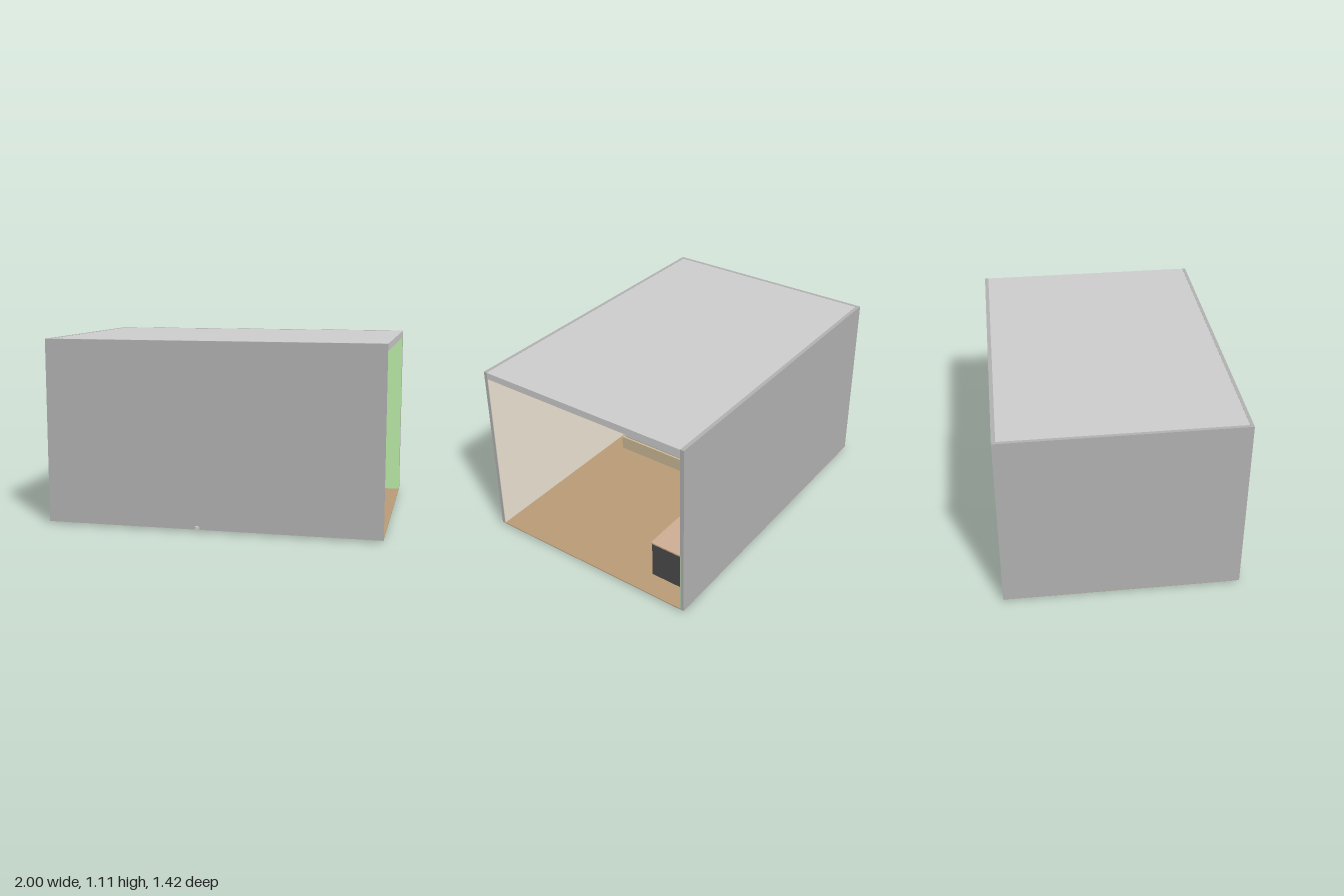
import * as THREE from 'three';
import { RoundedBoxGeometry } from 'three/addons/geometries/RoundedBoxGeometry.js';

const mat = (color) => new THREE.MeshStandardMaterial({ color });
const M = {
  grey: mat(0xcccccc), wall: mat(0xb0b0b0), beige: mat(0xe9e0d1), green: mat(0xbdeda9),
  floor: mat(0xb89b77), wood: mat(0xcab794), yellow: mat(0xdcd200), dark: mat(0x4a4a4a),
  deskTop: mat(0xcdac92), red: mat(0xd00000), black: mat(0x222222),
};

function add(parent, name, geometry, material, x = 0, y = 0, z = 0) {
  const mesh = new THREE.Mesh(geometry, material);
  mesh.name = name;
  mesh.position.set(x, y, z);
  parent.add(mesh);
  return mesh;
}

// Box given by its limits on each axis; a radius rounds the edges
function box(parent, name, material, [x0, x1], [y0, y1], [z0, z1], radius = 0) {
  const size = [x1 - x0, y1 - y0, z1 - z0];
  const geometry = radius ? new RoundedBoxGeometry(...size, 5, radius) : new THREE.BoxGeometry(...size);
  return add(parent, name, geometry, material, (x0 + x1) / 2, (y0 + y1) / 2, (z0 + z1) / 2);
}

function group(parent, name) {
  const g = new THREE.Group();
  g.name = name;
  parent.add(g);
  return g;
}

function createRoom(parent) {
  const room = group(parent, 'room');
  box(room, 'floor', M.floor, [-0.998, 0.998], [0.007, 0.013], [-0.69, 0.67]);
  box(room, 'frontWall', M.wall, [-1, 1], [0.01, 1.11], [0.668, 0.688]);
  box(room, 'backWall', M.wall, [-1, 1], [0.01, 1.11], [-0.71, -0.687]);
  box(room, 'sideWall', M.wall, [-1, -0.98], [0.01, 1.11], [-0.687, 0.668]);
  box(room, 'ceiling', M.grey, [-0.98, 1], [1.067, 1.109], [-0.687, 0.668]);
  // Painted inner faces
  box(room, 'frontWallPaint', M.beige, [-0.98, 0.998], [0.013, 1.067], [0.665, 0.668]);
  box(room, 'backWallPaint', M.green, [-0.98, 0.998], [0.013, 1.067], [-0.687, -0.684]);
  box(room, 'sideWallPaint', M.beige, [-0.98, -0.977], [0.013, 1.067], [-0.684, 0.665]);
  // Small block at the foot of the front wall
  box(room, 'outsideBlock', M.grey, [-0.087, -0.064], [0.01, 0.031], [0.688, 0.71]);
}

function createBed(parent) {
  const bed = group(parent, 'bed');
  box(bed, 'headboard', M.wood, [-0.977, -0.945], [0.065, 0.38], [-0.203, 0.522]);
  box(bed, 'bedBase', M.wood, [-0.945, -0.03], [0.065, 0.155], [-0.203, 0.522]);
  box(bed, 'mattress', M.grey, [-0.943, -0.04], [0.153, 0.193], [-0.19, 0.51], 0.012);
  for (const z of [-0.093, 0.411]) {
    for (const x of [-0.84, -0.16]) {
      box(bed, 'bedLeg', M.wood, [x - 0.022, x + 0.022], [0.005, 0.067], [z - 0.022, z + 0.022]);
    }
  }
  for (const z of [-0.008, 0.327]) {
    box(bed, 'pillow', M.yellow, [-0.935, -0.75], [0.193, 0.263], [z - 0.164, z + 0.164], 0.034);
  }
}

function createDesk(parent) {
  const desk = group(parent, 'desk');
  box(desk, 'deskTop', M.deskTop, [0.305, 0.865], [0.255, 0.264], [-0.66, -0.385]);
  for (const x of [0.32, 0.847]) {
    box(desk, 'deskSidePanel', M.dark, [x - 0.006, x + 0.006], [0, 0.255], [-0.66, -0.385]);
  }
  box(desk, 'modestyPanel', M.dark, [0.326, 0.841], [0.115, 0.255], [-0.63, -0.62]);
  for (const x of [0.365, 0.805]) {
    add(desk, 'cableGrommet', new THREE.CylinderGeometry(0.014, 0.014, 0.004, 20), M.black, x, 0.265, -0.635);
  }
}

function createMug(parent) {
  const mug = group(parent, 'mug');
  mug.position.set(0.41, 0.264, -0.588);
  const profile = [[0, 0], [0.018, 0], [0.019, 0.004], [0.019, 0.042], [0.014, 0.053], [0.012, 0.053], [0.012, 0.045], [0, 0.045]];
  add(mug, 'mugBody', new THREE.LatheGeometry(profile.map(([r, y]) => new THREE.Vector2(r, y)), 20), M.red);
  add(mug, 'mugHandle', new THREE.TorusGeometry(0.012, 0.003, 8, 16, Math.PI), M.red, 0.018, 0.024, 0)
    .rotation.z = -Math.PI / 2;
}

export function createModel() {
  const model = new THREE.Group();
  model.name = 'furnishedRoom';
  createRoom(model);
  createBed(model);
  createDesk(model);
  createMug(model);
  return model;
}
